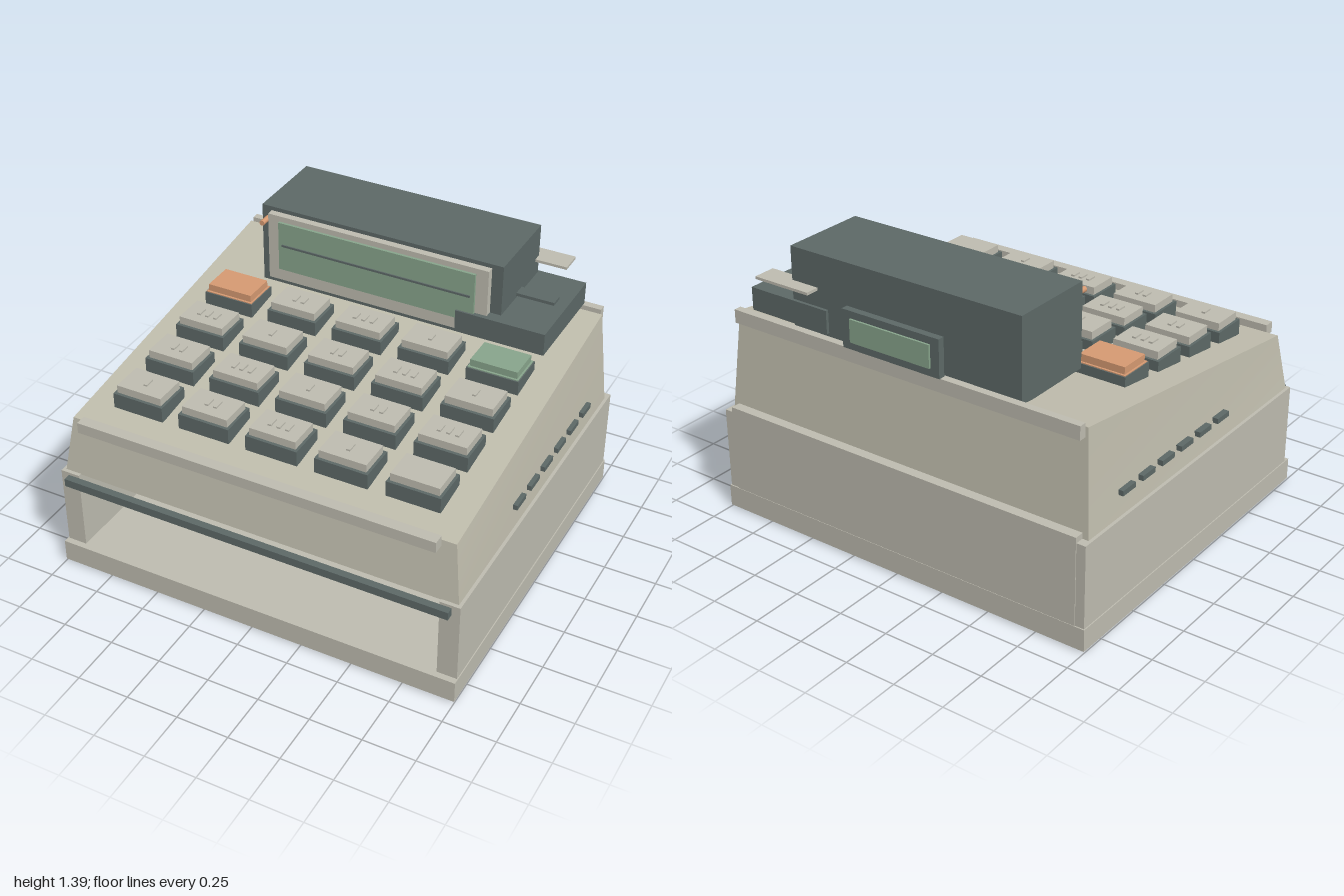
import * as THREE from 'three';

const mat = (name, color) => {
  const m = new THREE.MeshStandardMaterial({ color });
  m.name = name;
  return m;
};

export function createModel() {
  const root = new THREE.Group();
  root.name = 'cashRegister';
  const beige = mat('beige plastic', 0xbebcb0);
  const shellBeige = mat('warm beige shell', 0xc0bdad);
  const dark = mat('dark slate', 0x5d6967);
  const green = mat('display green', 0x88a58c);
  const orange = mat('orange', 0xd69a72);

  // Box given by its extents along x, y and z
  const box = (name, m, x0, x1, y0, y1, z0, z1, parent = root) => {
    const mesh = new THREE.Mesh(new THREE.BoxGeometry(x1 - x0, y1 - y0, z1 - z0), m);
    mesh.position.set((x0 + x1) / 2, (y0 + y1) / 2, (z0 + z1) / 2);
    mesh.name = name;
    parent.add(mesh);
    return mesh;
  };
  const deckY = (z) => 0.79 + (0.79 - z) * 0.21 / 1.58;

  // Base slab and feet
  box('base', beige, -1, 1, 0.008, 0.115, -0.88, 0.88);
  for (const sx of [-1, 1]) for (const sz of [-1, 1]) {
    const x = sx * 0.77, z = sz * 0.605;
    box('foot', dark, x - 0.115, x + 0.115, 0, 0.008, z - 0.115, z + 0.115);
  }

  // Open drawer bay: side walls, back wall and front rail
  for (const s of [-1, 1]) {
    const x = s * 0.9475;
    box('bayWall', beige, x - 0.0475, x + 0.0475, 0.115, 0.513, -0.874, 0.85);
  }
  box('bayBack', beige, -0.95, 0.95, 0.115, 0.54, -0.878, -0.83);
  box('drawerRail', dark, -0.955, 0.955, 0.46, 0.5, 0.85, 0.885);

  // Tapered upper shell with sloping deck
  const shellGeo = new THREE.BoxGeometry(2, 2, 2);
  const p = shellGeo.attributes.position;
  for (let i = 0; i < p.count; i++) {
    const top = p.getY(i) > 0, z = Math.sign(p.getZ(i)), x = Math.sign(p.getX(i));
    if (top) p.setXYZ(i, x * 0.94, deckY(z * 0.79), z * 0.79);
    else p.setXYZ(i, x * 0.98, 0.51, z * 0.832);
  }
  shellGeo.computeVertexNormals();
  const shell = new THREE.Mesh(shellGeo, shellBeige);
  shell.name = 'upperShell';
  root.add(shell);
  box('frontTrim', beige, -0.875, 0.875, 0.767, 0.82, 0.8, 0.853);
  box('backTrim', beige, -0.93, 0.93, 0.955, 1.02, -0.832, -0.795);

  // Side vents
  for (const s of [-1, 1]) for (let i = 0; i < 6; i++) {
    const z = 0.218 - i * 0.1535;
    box('vent', dark, s * 0.973 - 0.018, s * 0.973 + 0.018, 0.611, 0.636, z - 0.048, z + 0.048);
  }

  // Keys: dark socket, cap and raised marks
  for (let r = 0; r < 4; r++) for (let c = 0; c < 5; c++) {
    const x = (c - 2) * 0.339, z = 0.57 - r * 0.263, y = 0.885 + r * 0.0325;
    const key = new THREE.Group();
    key.name = 'key';
    key.position.set(x, y, z);
    root.add(key);
    const special = r === 3 && (c === 0 || c === 4);
    const m = special ? (c === 0 ? orange : green) : beige;
    box('keySocket', dark, -0.127, 0.127, -0.075, 0, -0.093, 0.093, key);
    box('keyCap', m, -0.114, 0.114, 0, 0.038, -0.078, 0.078, key);
    if (special) {
      box('keyPlate', m, -0.122, 0.122, 0, 0.004, -0.088, 0.088, key);
      continue;
    }
    if (r === 0 && c === 4) continue;
    const n = (c + r) % 3 + 1;
    for (let k = 0; k < n; k++) {
      const mx = (k - (n - 1) / 2) * 0.043;
      box('keyMark', beige, mx - 0.009, mx + 0.009, 0.038, 0.046, -0.025, 0.025, key);
    }
  }

  // Main display
  box('displayHousing', dark, -0.615, 0.61, 0.99, 1.39, -0.785, -0.36);
  box('displayBezel', beige, -0.565, 0.555, 1.03, 1.37, -0.36, -0.325);
  box('displayScreen', green, -0.505, 0.495, 1.095, 1.343, -0.325, -0.312);
  box('displayLine', dark, -0.485, 0.475, 1.222, 1.232, -0.312, -0.306);
  const lamp = new THREE.Mesh(new THREE.CylinderGeometry(0.013, 0.013, 0.06, 16), orange);
  lamp.rotation.x = Math.PI / 2;
  lamp.position.set(-0.585, 1.325, -0.33);
  lamp.name = 'indicatorLamp';
  root.add(lamp);

  // Receipt printer
  box('printer', dark, 0.41, 0.845, 1.03, 1.14, -0.8, -0.303);
  box('printerBar', dark, 0.55, 0.795, 1.15, 1.165, -0.592, -0.53);
  box('receipt', beige, 0.465, 0.765, 1.217, 1.23, -0.852, -0.742);

  // Rear customer display
  box('rearDisplay', dark, -0.26, 0.257, 1.04, 1.22, -0.868, -0.835);
  box('rearScreen', green, -0.215, 0.21, 1.078, 1.186, -0.878, -0.868);
  return root;
}
